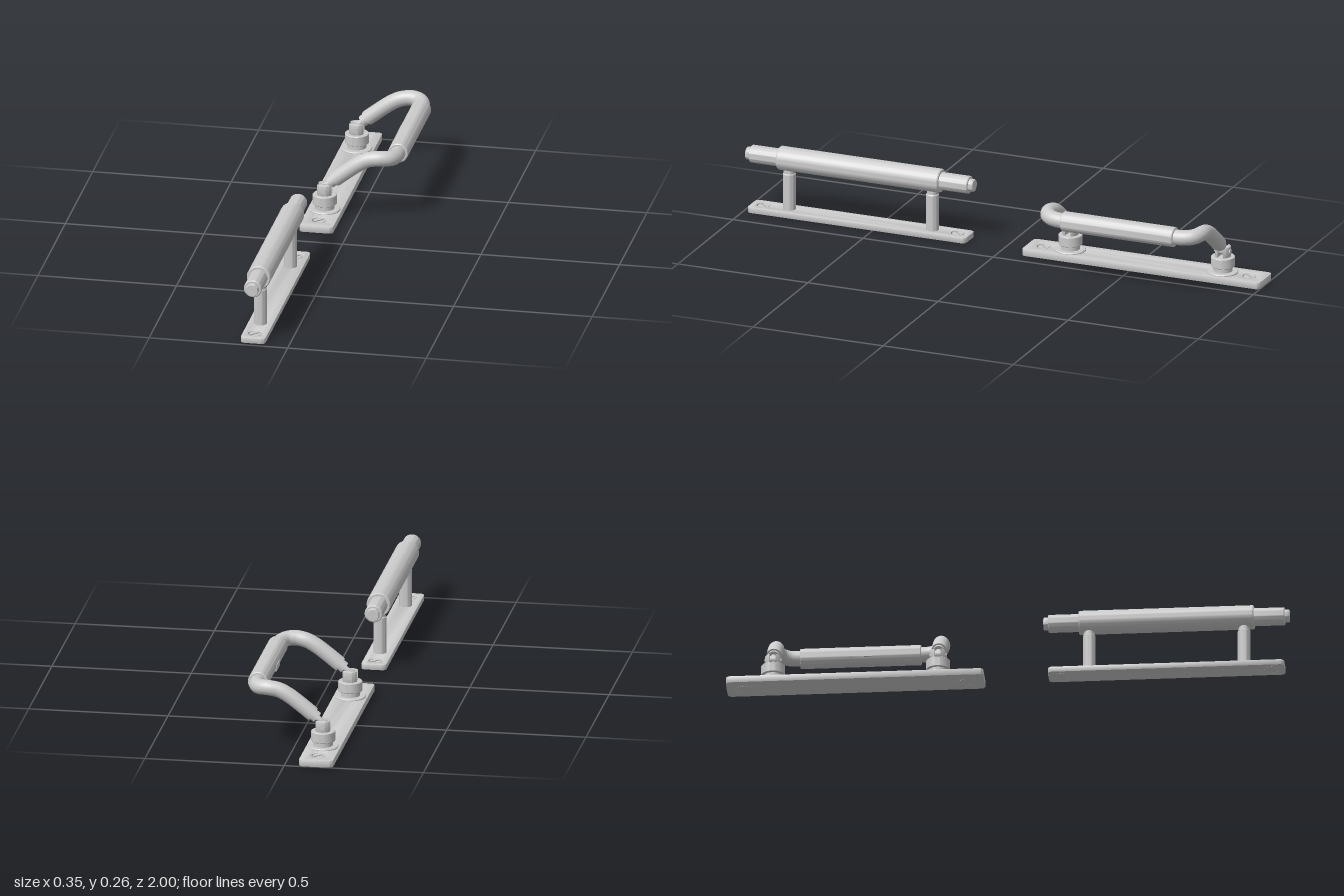
import * as THREE from 'three';
import { toCreasedNormals } from 'three/addons/utils/BufferGeometryUtils.js';

const material = new THREE.MeshStandardMaterial({ color: 0xcccccc });

function add(parent, name, geometry, x = 0, y = 0, z = 0) {
  const mesh = new THREE.Mesh(geometry, material);
  mesh.name = name;
  mesh.position.set(x, y, z);
  parent.add(mesh);
  return mesh;
}

// Turned part from [radius, height] pairs, listed bottom to top
function turned(profile, segments = 40) {
  const points = profile.map(([r, y]) => new THREE.Vector2(r, y));
  return toCreasedNormals(new THREE.LatheGeometry(points, segments), 0.6);
}

// Cylinder running from point a to point b
function rod(parent, name, a, b, radius) {
  const dir = b.clone().sub(a);
  const mesh = add(parent, name, new THREE.CylinderGeometry(radius, radius, dir.length(), 32));
  mesh.position.copy(a).add(b).multiplyScalar(0.5);
  mesh.quaternion.setFromUnitVectors(new THREE.Vector3(0, 1, 0), dir.normalize());
  return mesh;
}

// Extrudes a flat outline upwards, with the outline's y along -z
function slab(shape, depth, bevel = 0) {
  const geometry = new THREE.ExtrudeGeometry(shape, {
    depth: depth - 2 * bevel, bevelEnabled: bevel > 0, bevelThickness: bevel,
    bevelSize: bevel, bevelOffset: -bevel, bevelSegments: 2, curveSegments: 16,
  });
  return toCreasedNormals(geometry.rotateX(-Math.PI / 2).translate(0, bevel, 0), 0.6);
}

// Part of a disc lying on one side of a slot
function discSegment(radius, halfSlot) {
  const start = Math.asin(halfSlot / radius);
  const shape = new THREE.Shape();
  shape.absarc(0, 0, radius, start, Math.PI - start, false);
  shape.closePath();
  return shape;
}

// Mounting plate with rounded corners and two recessed slotted screws
function mountingPlate(parent, width, length, height, screwOffset) {
  const w = width / 2, l = length / 2, r = 0.016, hole = 0.025;
  const shape = new THREE.Shape();
  shape.absarc(w - r, l - r, r, 0, Math.PI / 2);
  shape.absarc(-w + r, l - r, r, Math.PI / 2, Math.PI);
  shape.absarc(-w + r, -l + r, r, Math.PI, Math.PI * 1.5);
  shape.absarc(w - r, -l + r, r, Math.PI * 1.5, Math.PI * 2);
  shape.closePath();
  for (const s of [-1, 1]) {
    shape.holes.push(new THREE.Path().absarc(0, s * screwOffset, hole, 0, Math.PI * 2, true));
    const screw = new THREE.Group();
    screw.name = 'screw';
    screw.position.z = s * screwOffset;
    screw.rotation.y = Math.PI / 4;
    parent.add(screw);
    add(screw, 'screwCore', new THREE.CylinderGeometry(hole, hole, height * 0.6, 32), 0, height * 0.3 + 0.0005);
    for (const turn of [0, Math.PI]) {
      add(screw, 'screwHeadHalf', slab(discSegment(0.021, 0.004), height * 0.32), 0, height * 0.6).rotation.y = turn;
    }
  }
  add(parent, 'plate', slab(shape, height, 0.002));
}

// Straight bar handle on two posts
function straightHandle() {
  const group = new THREE.Group();
  group.name = 'straightHandle';
  group.position.set(-0.13, 0, 0.563);
  mountingPlate(group, 0.09, 0.84, 0.021, 0.373);
  for (const s of [-1, 1]) {
    add(group, 'post', turned([[0, 0.018], [0.023, 0.018], [0.023, 0.153], [0.02, 0.156], [0.02, 0.2]]), 0, 0, s * 0.275);
  }
  const half = [[0.043, 0.307], [0.04, 0.311], [0.032, 0.311], [0.032, 0.417], [0.029, 0.42],
    [0.023, 0.42], [0.023, 0.434], [0.021, 0.437], [0, 0.437]];
  const profile = [...half.map(([r, y]) => [r, -y]).reverse(), ...half];
  add(group, 'gripBar', turned(profile, 48).rotateX(Math.PI / 2), 0, 0.208, 0);
  return group;
}

// Pivot base: flange, drum, forked top and cross pin
function pivotBase(parent, z) {
  const base = new THREE.Group();
  base.name = 'pivotBase';
  base.position.set(-0.113, 0, z);
  parent.add(base);
  add(base, 'drum', turned([[0, 0.02], [0.055, 0.02], [0.055, 0.028], [0.052, 0.031], [0.034, 0.031],
    [0.034, 0.048], [0.041, 0.048], [0.043, 0.05], [0.043, 0.083], [0.041, 0.085], [0, 0.085]]));
  for (const turn of [0, Math.PI]) {
    add(base, 'forkCheek', slab(discSegment(0.028, 0.011), 0.041, 0.001), 0, 0.082).rotation.y = turn;
  }
  rod(base, 'pin', new THREE.Vector3(0, 0.105, -0.03), new THREE.Vector3(0, 0.105, 0.03), 0.009);
  // Tongue and collar leading into the bent tube
  rod(base, 'tongueEye', new THREE.Vector3(0, 0.108, -0.01), new THREE.Vector3(0, 0.108, 0.01), 0.017);
  const at = (x) => new THREE.Vector3(x, 0.115 + x * 0.78, 0);
  rod(base, 'tongue', at(0), at(0.03), 0.0105);
  rod(base, 'neck', at(0.021), at(0.044), 0.021);
  rod(base, 'collar', at(0.036), at(0.045), 0.0265);
}

// Swinging handle: bent tube between two pivots, with a thicker grip
function swingHandle() {
  const group = new THREE.Group();
  group.name = 'swingHandle';
  group.position.z = -0.543;
  const plate = new THREE.Group();
  plate.name = 'basePlate';
  plate.position.x = -0.113;
  group.add(plate);
  mountingPlate(plate, 0.123, 0.915, 0.025, 0.395);
  for (const s of [-1, 1]) pivotBase(group, s * 0.293);

  const half = [[-0.073, 0.146, 0.293], [-0.03, 0.18, 0.293], [0.01, 0.209, 0.293], [0.045, 0.227, 0.293],
    [0.085, 0.234, 0.293], [0.115, 0.232, 0.281], [0.13, 0.229, 0.257], [0.135, 0.227, 0.21]];
  const points = [...half, ...half.map(([x, y, z]) => [x, y, -z]).reverse()];
  const path = new THREE.CatmullRomCurve3(points.map((p) => new THREE.Vector3(...p)));
  add(group, 'bentTube', new THREE.TubeGeometry(path, 160, 0.0275, 28));

  const grip = [[0, -0.215], [0.033, -0.215], [0.036, -0.212], [0.036, 0.212], [0.033, 0.215], [0, 0.215]];
  add(group, 'grip', turned(grip, 48).rotateX(Math.PI / 2), 0.135, 0.227, 0);
  add(group, 'gripPad', new THREE.BoxGeometry(0.012, 0.02, 0.08), 0.103, 0.222, 0);
  return group;
}

export function createModel() {
  const model = new THREE.Group();
  model.name = 'pairOfHandles';
  model.add(straightHandle(), swingHandle());
  return model;
}
